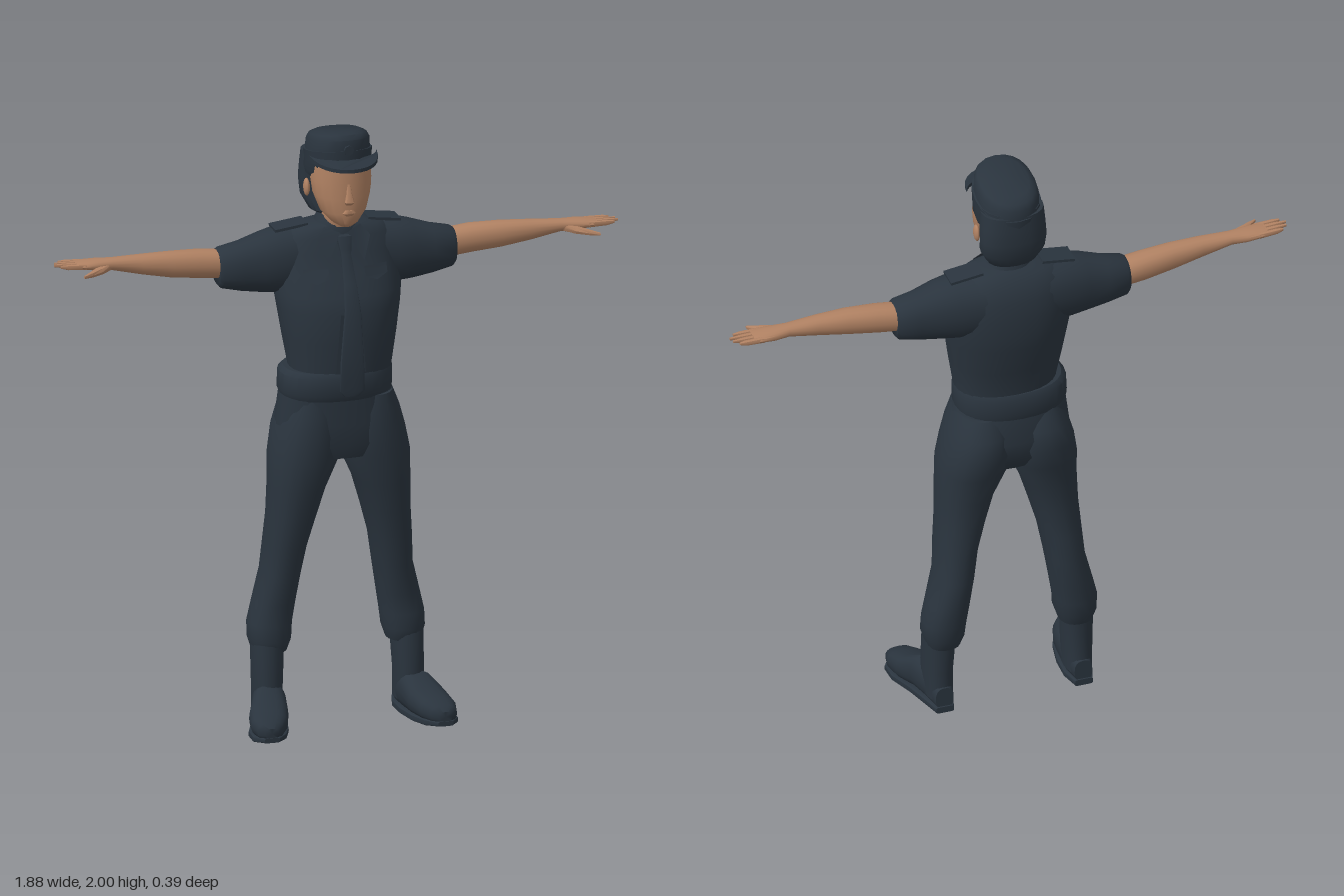
import * as THREE from 'three';
import { toCreasedNormals } from 'three/addons/utils/BufferGeometryUtils.js';

const cloth = new THREE.MeshStandardMaterial({ color: 0x2a343e, side: THREE.DoubleSide });
cloth.name = 'dark navy cloth';
const skin = new THREE.MeshStandardMaterial({ color: 0xb18263 });
skin.name = 'skin';

// Axis order for each loft direction: [along, cosine axis, sine axis]
const AXES = { x: [0, 2, 1], y: [1, 0, 2], z: [2, 1, 0] };

// Closed skin over superellipse rings [along, c0, c1, s0, s1]; side -1 mirrors in x
function loft(axis, rings, { n = 20, p = 2.3, side = 1, warp = null, crease = 0.75 } = {}) {
  const [ia, ic, is] = AXES[axis];
  const cap = ([a, c0, c1, s0, s1]) => [a, (c0 + c1) / 2, (c0 + c1) / 2, (s0 + s1) / 2, (s0 + s1) / 2];
  const all = [cap(rings[0]), ...rings, cap(rings[rings.length - 1])];
  const pw = (v) => Math.sign(v) * Math.pow(Math.abs(v), 2 / p);
  const pts = all.map(([a, c0, c1, s0, s1]) => Array.from({ length: n }, (_, j) => {
    const t = (j / n) * Math.PI * 2, q = [0, 0, 0];
    q[ia] = a;
    q[ic] = (c0 + c1) / 2 + ((c1 - c0) / 2) * pw(Math.cos(t));
    q[is] = (s0 + s1) / 2 + ((s1 - s0) / 2) * pw(Math.sin(t));
    const v = new THREE.Vector3(...q);
    if (warp) warp(v);
    v.x *= side;
    return v;
  }));
  const out = [];
  const tri = (a, b, c) => {
    for (const v of side < 0 ? [a, c, b] : [a, b, c]) out.push(v.x, v.y, v.z);
  };
  const last = all.length - 2;
  for (let i = 0; i <= last; i++) {
    for (let j = 0; j < n; j++) {
      const k = (j + 1) % n;
      const a = pts[i][j], b = pts[i][k], c = pts[i + 1][j], d = pts[i + 1][k];
      if (i > 0) tri(a, c, b);
      if (i < last) tri(b, c, d);
    }
  }
  const g = new THREE.BufferGeometry();
  g.setAttribute('position', new THREE.Float32BufferAttribute(out, 3));
  return smooth(g, crease);
}

// Creased normals, worked out at a larger scale so small parts keep their detail
function smooth(g, crease) {
  g.scale(50, 50, 50);
  const r = toCreasedNormals(g, crease);
  r.scale(0.02, 0.02, 0.02);
  return r;
}

// Symmetric upright rings [y, halfWidth, z0, z1]
const sym = (rings) => rings.map(([y, h, z0, z1]) => [y, -h, h, z0, z1]);

const TORSO = [
  [1.13, 0.165, -0.145, 0.1], [1.2, 0.168, -0.145, 0.108], [1.3, 0.185, -0.165, 0.112],
  [1.4, 0.2, -0.185, 0.113], [1.45, 0.207, -0.19, 0.098], [1.52, 0.205, -0.19, 0.065],
  [1.58, 0.2, -0.182, 0.04], [1.63, 0.185, -0.165, 0.025], [1.657, 0.15, -0.14, 0.012],
  [1.672, 0.07, -0.12, 0.005],
];

// Depth of the shirt front at a point
function frontZ(x, y) {
  let i = 0;
  while (i < TORSO.length - 2 && TORSO[i + 1][0] < y) i++;
  const f = (y - TORSO[i][0]) / (TORSO[i + 1][0] - TORSO[i][0]);
  const [, h, z0, z1] = TORSO[i].map((v, k) => THREE.MathUtils.lerp(v, TORSO[i + 1][k], f));
  const k = Math.pow(Math.max(0, 1 - Math.pow(Math.abs(x) / h, 2.3)), 1 / 2.3);
  return (z0 + z1) / 2 + ((z1 - z0) / 2) * k;
}

// Thin cloth patch following the shirt front, given corners [x, y]
function patch(corners, lift = 0.006) {
  const g = new THREE.ShapeGeometry(new THREE.Shape(corners.map(([x, y]) => new THREE.Vector2(x, y))));
  const pos = g.attributes.position;
  for (let i = 0; i < pos.count; i++) pos.setZ(i, frontZ(pos.getX(i), pos.getY(i)) + lift);
  g.computeVertexNormals();
  return g;
}

export function createModel() {
  const model = new THREE.Group();
  model.name = 'uniformedFigure';
  const add = (name, geometry, material) => {
    const m = new THREE.Mesh(geometry, material);
    m.name = name;
    model.add(m);
    return m;
  };

  // Head, nose, lips and neck
  add('head', loft('y', sym([
    [1.683, 0.02, 0.03, 0.075], [1.695, 0.042, -0.01, 0.087], [1.73, 0.075, -0.06, 0.091],
    [1.78, 0.092, -0.09, 0.09], [1.83, 0.098, -0.1, 0.088], [1.9, 0.097, -0.12, 0.083],
  ]), { p: 2.1 }), skin);
  add('nose', loft('y', sym([
    [1.762, 0.012, 0.08, 0.096], [1.772, 0.016, 0.08, 0.107], [1.8, 0.009, 0.08, 0.098], [1.83, 0.006, 0.08, 0.089],
  ]), { n: 8 }), skin);
  add('lips', loft('y', sym([
    [1.724, 0.012, 0.08, 0.091], [1.733, 0.022, 0.08, 0.096], [1.744, 0.014, 0.08, 0.094],
  ]), { n: 10 }), skin);
  add('neck', loft('y', sym([[1.6, 0.055, -0.11, 0.0], [1.66, 0.05, -0.105, 0.015], [1.74, 0.055, -0.1, 0.03]])), skin);

  // Hair behind the face, with a fringe under the cap
  add('hair', loft('y', sym([
    [1.69, 0.055, -0.125, -0.035], [1.705, 0.082, -0.148, -0.02], [1.75, 0.106, -0.168, -0.03],
    [1.8, 0.11, -0.172, -0.045], [1.85, 0.108, -0.17, -0.03], [1.9, 0.104, -0.166, -0.02],
  ])), cloth);
  add('fringe', loft('y', sym([[1.835, 0.101, -0.15, 0.045], [1.855, 0.106, -0.165, 0.07], [1.91, 0.104, -0.165, 0.08]])), cloth);

  // Cap: band and crown sloping down to the back
  const slope = (v) => { v.y += v.z * 0.2; };
  add('capBand', loft('y', sym([[1.882, 0.104, -0.168, 0.086], [1.925, 0.106, -0.171, 0.088]]), { warp: slope }), cloth);
  add('capCrown', loft('y', sym([
    [1.92, 0.1, -0.168, 0.083], [1.96, 0.097, -0.166, 0.084], [1.977, 0.088, -0.155, 0.072], [1.986, 0.07, -0.13, 0.045],
  ]), { warp: slope }), cloth);
  const badge = add('capBadge', new THREE.CylinderGeometry(0.016, 0.016, 0.008, 8), cloth);
  badge.rotation.x = Math.PI / 2;
  badge.position.set(0, 1.945, 0.086);

  // Peak: a crescent bent down at the front
  const peak = new THREE.Shape();
  peak.moveTo(-0.112, 0.02);
  peak.bezierCurveTo(-0.1, 0.19, 0.1, 0.19, 0.112, 0.02);
  peak.bezierCurveTo(0.09, 0.1, -0.09, 0.1, -0.112, 0.02);
  const peakGeo = new THREE.ExtrudeGeometry(peak, { depth: 0.012, bevelEnabled: false, curveSegments: 14 });
  peakGeo.rotateX(Math.PI / 2);
  const pp = peakGeo.attributes.position;
  for (let i = 0; i < pp.count; i++) {
    pp.setY(i, pp.getY(i) + 1.925 - 0.2 * Math.max(0, pp.getZ(i) - 0.02) - 0.6 * pp.getX(i) ** 2);
  }
  peakGeo.computeVertexNormals();
  add('capPeak', peakGeo, cloth);

  // Shirt, waistband and trouser seat
  add('shirt', loft('y', sym(TORSO), { n: 28 }), cloth);
  add('collarBand', loft('y', sym([[1.64, 0.085, -0.135, 0.02], [1.67, 0.072, -0.122, 0.014], [1.695, 0.06, -0.115, -0.005]])), cloth);
  add('placket', patch([[-0.05, 1.2], [0.05, 1.2], [0.035, 1.4], [-0.035, 1.4]], 0.004), cloth);
  add('waistband', loft('y', [
    [1.105, -0.195, 0.165, -0.152, 0.105], [1.125, -0.203, 0.17, -0.157, 0.113],
    [1.185, -0.2, 0.17, -0.157, 0.114], [1.2, -0.185, 0.165, -0.148, 0.106],
  ], { n: 28 }), cloth);
  add('trouserSeat', loft('y', [
    [0.905, -0.13, 0.13, -0.13, 0.085], [0.95, -0.21, 0.21, -0.16, 0.098],
    [1.02, -0.207, 0.2, -0.168, 0.102], [1.12, -0.197, 0.168, -0.15, 0.105],
  ], { n: 28 }), cloth);

  // Tie hanging in front of the shirt
  add('tie', loft('y', [
    [1.132, -0.03, 0.02, 0.128, 0.142], [1.15, -0.045, 0.038, 0.13, 0.145], [1.25, -0.043, 0.035, 0.13, 0.145],
    [1.42, -0.027, 0.026, 0.124, 0.138], [1.5, -0.022, 0.022, 0.088, 0.105], [1.585, -0.017, 0.017, 0.044, 0.06],
    [1.6, -0.02, 0.02, 0.035, 0.056], [1.64, -0.026, 0.026, 0.01, 0.042],
  ], { n: 12, p: 4 }), cloth);

  for (const side of [1, -1]) {
    const label = side > 0 ? 'left' : 'right';
    const o = (extra) => ({ side, ...extra });

    // Collar flap, pocket flap and shoulder strap
    const flip = (pts) => pts.map(([x, y]) => [x * side, y]);
    add(label + 'CollarFlap', patch(flip([[0.012, 1.65], [0.06, 1.668], [0.088, 1.635], [0.06, 1.56]]), 0.016), cloth);
    add(label + 'PocketFlap', patch(flip([[0.06, 1.54], [0.14, 1.54], [0.14, 1.51], [0.1, 1.495], [0.06, 1.51]])), cloth);
    const strap = add(label + 'ShoulderStrap', new THREE.BoxGeometry(0.11, 0.009, 0.075), cloth);
    strap.position.set(side * 0.155, 1.66, -0.07);
    strap.rotation.z = -side * 0.13;

    // Short sleeve
    add(label + 'Sleeve', loft('x', [
      [0.1, -0.17, 0.01, 1.45, 1.658], [0.19, -0.165, 0.015, 1.44, 1.655], [0.25, -0.152, 0.008, 1.445, 1.64],
      [0.32, -0.14, -0.005, 1.455, 1.617], [0.385, -0.133, -0.012, 1.47, 1.603], [0.395, -0.125, -0.02, 1.482, 1.597],
    ], o()), cloth);

    // Bare arm, palm, fingers and thumb; the right hand is held slightly higher
    const raise = (v) => { if (side < 0) v.y += Math.max(0, v.x - 0.5) * 0.06; };
    add(label + 'Forearm', loft('x', [
      [0.36, -0.122, -0.028, 1.5, 1.592], [0.45, -0.12, -0.027, 1.51, 1.603], [0.55, -0.107, -0.025, 1.52, 1.605],
      [0.65, -0.096, -0.03, 1.535, 1.6], [0.75, -0.09, -0.038, 1.553, 1.592], [0.8, -0.1, -0.032, 1.554, 1.59],
      [0.85, -0.102, -0.028, 1.56, 1.585], [0.87, -0.098, -0.032, 1.564, 1.582],
    ], o({ warp: raise, n: 16 })), skin);
    [0.92, 0.937, 0.942, 0.925].forEach((tip, i) => {
      const z = -0.092 + i * 0.018;
      add(label + 'Finger', loft('x', [
        [0.84, z - 0.009, z + 0.009, 1.562, 1.583], [0.9, z - 0.008, z + 0.008, 1.564, 1.582],
        [tip, z - 0.004, z + 0.004, 1.57, 1.579],
      ], o({ warp: raise, n: 8 })), skin);
    });
    add(label + 'Thumb', loft('x', [
      [0.755, -0.065, -0.04, 1.555, 1.58], [0.79, -0.06, -0.015, 1.548, 1.575],
      [0.83, -0.02, 0.005, 1.547, 1.567], [0.862, 0.01, 0.02, 1.55, 1.56],
    ], o({ warp: raise, n: 8 })), skin);

    // Ear
    const ear = add(label + 'Ear', new THREE.SphereGeometry(1, 10, 8), skin);
    ear.scale.set(0.01, 0.03, 0.02);
    ear.position.set(side * 0.102, 1.79, -0.045);

    // Trouser leg with a gathered cuff
    add(label + 'TrouserLeg', loft('y', [
      [0.24, 0.168, 0.28, -0.125, 0.005], [0.28, 0.155, 0.292, -0.142, 0.022], [0.33, 0.15, 0.292, -0.145, 0.012],
      [0.4, 0.14, 0.275, -0.15, 0.02], [0.5, 0.125, 0.25, -0.152, 0.032], [0.6, 0.108, 0.243, -0.143, 0.05],
      [0.7, 0.08, 0.235, -0.14, 0.067], [0.8, 0.05, 0.232, -0.145, 0.085], [0.9, 0.005, 0.23, -0.165, 0.1],
      [0.98, -0.005, 0.215, -0.185, 0.102], [1.05, 0.0, 0.195, -0.175, 0.1], [1.11, 0.02, 0.17, -0.14, 0.09],
    ], o()), cloth);

    // Boot: shaft, foot turned outward, and sole
    add(label + 'BootShaft', loft('y', [
      [0.04, 0.19, 0.28, -0.118, 0.02], [0.14, 0.188, 0.284, -0.112, 0.03], [0.27, 0.18, 0.285, -0.118, 0.015],
    ], o()), cloth);
    add(label + 'BootFoot', loft('z', [
      [-0.118, 0.012, 0.09, 0.205, 0.265], [-0.06, 0.01, 0.12, 0.19, 0.28], [0.02, 0.01, 0.14, 0.19, 0.305],
      [0.08, 0.01, 0.105, 0.2, 0.332], [0.14, 0.01, 0.085, 0.22, 0.342], [0.18, 0.012, 0.072, 0.245, 0.333],
      [0.197, 0.02, 0.055, 0.268, 0.312],
    ], o({ p: 2.6 })), cloth);
    add(label + 'BootSole', loft('z', [
      [-0.123, 0, 0.022, 0.205, 0.265], [-0.06, 0, 0.024, 0.188, 0.284], [0.02, 0, 0.024, 0.19, 0.308],
      [0.1, 0, 0.024, 0.205, 0.34], [0.16, 0.002, 0.024, 0.23, 0.343], [0.2, 0.008, 0.024, 0.265, 0.315],
    ], o({ p: 6 })), cloth);
  }
  return model;
}
